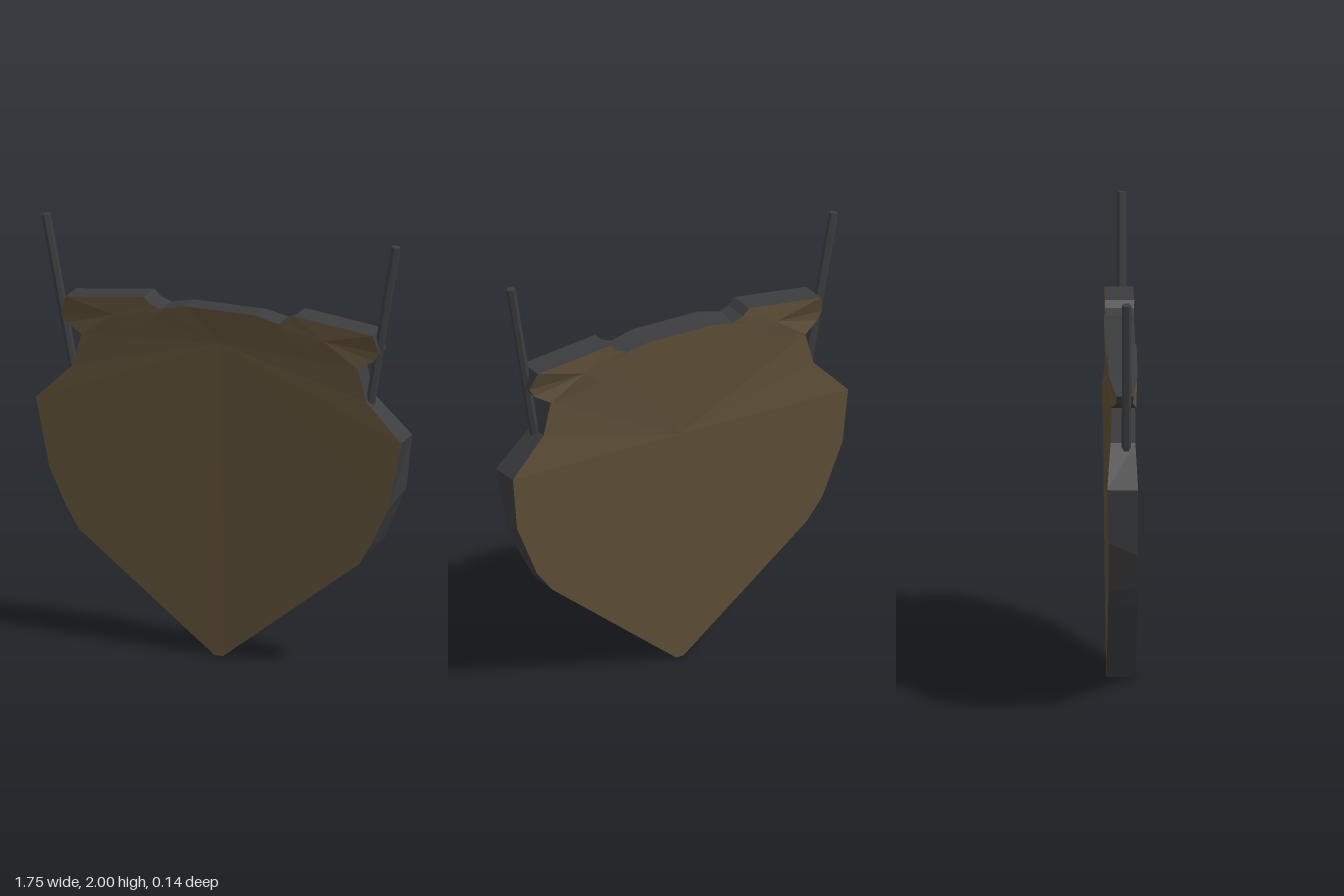
import * as THREE from 'three';

const brown = new THREE.MeshStandardMaterial({ color: 0x5c4d36, flatShading: true });
const dark = new THREE.MeshStandardMaterial({ color: 0x3b3c3e, flatShading: true });

function facetMesh(name, triangles, material) {
  const geometry = new THREE.BufferGeometry();
  geometry.setAttribute('position', new THREE.Float32BufferAttribute(triangles.flat(2), 3));
  geometry.computeVertexNormals();
  const mesh = new THREE.Mesh(geometry, material);
  mesh.name = name;
  return mesh;
}

// A faceted plate: two matching clockwise rings, each closed by a fan, joined by a rim
function plate(name, front, back, frontHub, backHub) {
  const faces = [], rim = [];
  front.forEach((a, i) => {
    const j = (i + 1) % front.length;
    const b = front[j], c = back[i], d = back[j];
    faces.push([frontHub, b, a], [backHub, c, d]);
    rim.push([a, b, c], [b, d, c]);
  });
  const group = new THREE.Group();
  group.name = name;
  group.add(facetMesh(name + 'Faces', faces, brown), facetMesh(name + 'Rim', rim, dark));
  return group;
}

// Completes a right-hand outline with its mirror image
const mirrorRing = (half) => [...half, ...half.map(([x, y, z]) => [-x, y, z]).reverse()];

function rod(name, from, to) {
  const a = new THREE.Vector3(...from), b = new THREE.Vector3(...to);
  const dir = b.clone().sub(a);
  const mesh = new THREE.Mesh(new THREE.CylinderGeometry(0.021, 0.021, dir.length(), 6), dark);
  mesh.position.copy(a).add(b).multiplyScalar(0.5);
  mesh.quaternion.setFromUnitVectors(new THREE.Vector3(0, 1, 0), dir.normalize());
  mesh.name = name;
  return mesh;
}

export function createModel() {
  const model = new THREE.Group();
  model.name = 'shieldPlate';

  // Main plate, slightly dished in front; its lower flanks flare toward the back
  const front = mirrorRing([
    [0.17, 1.61, 0.065], [0.27, 1.585, 0.065], [0.42, 1.56, 0.065], [0.66, 1.42, 0.06],
    [0.70, 1.27, 0.06], [0.875, 1.1, 0.07], [0.81, 0.78, 0.07], [0.73, 0.61, 0.07],
    [0.67, 0.51, 0.07], [0.02, 0, 0.07],
  ]);
  const back = mirrorRing([
    [0.17, 1.6, -0.068], [0.27, 1.58, -0.066], [0.42, 1.55, -0.062], [0.66, 1.42, -0.045],
    [0.70, 1.27, -0.05], [0.87, 1.1, -0.067], [0.845, 0.85, -0.062], [0.74, 0.6, -0.06],
    [0.66, 0.5, -0.06], [0.02, 0, -0.06],
  ]);
  model.add(plate('body', front, back, [0, 1.45, 0.05], [0, 1.1, -0.06]));

  // Shoulder horns with a tapered outer tip
  const horn = [
    [0.27, 1.575, 0.067, -0.058], [0.33, 1.6, 0.068, -0.06], [0.36, 1.63, 0.07, -0.06],
    [0.735, 1.585, 0.07, -0.058], [0.76, 1.5, 0.05, -0.025], [0.735, 1.46, 0.05, -0.025],
    [0.66, 1.42, 0.065, -0.05], [0.42, 1.46, 0.066, -0.058],
  ];
  for (const side of [1, -1]) {
    const ring = (k) => {
      const points = horn.map((p) => [side * p[0], p[1], p[k]]);
      return side > 0 ? points : points.reverse();
    };
    model.add(plate(side > 0 ? 'leftHorn' : 'rightHorn', ring(2), ring(3),
      [side * 0.5, 1.53, 0.071], [side * 0.5, 1.53, -0.064]));
  }

  // Slanted rods, the left one a little higher
  model.add(rod('leftRod', [0.705, 1.25, 0.02], [0.828, 1.997, 0.02]));
  model.add(rod('rightRod', [-0.705, 1.2, 0.02], [-0.848, 1.945, 0.02]));
  return model;
}
